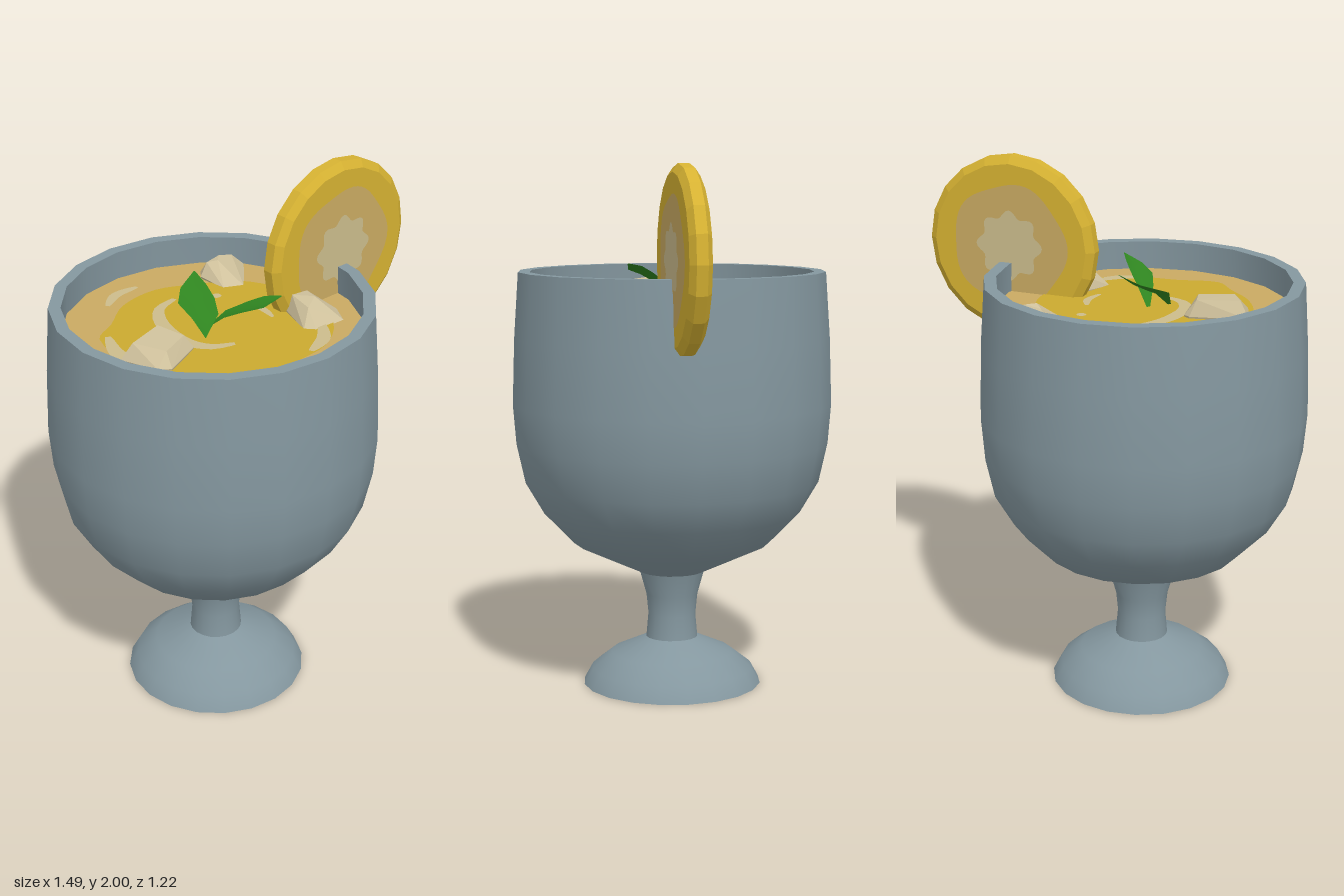
import * as THREE from 'three';
import { ConvexGeometry } from 'three/addons/geometries/ConvexGeometry.js';

const CX = -0.14;      // axis of the glass
const LEVEL = 1.49;    // drink surface
const SIDES = 20;

const mat = (name, color, side = THREE.FrontSide) => {
  const m = new THREE.MeshStandardMaterial({ color, side });
  m.name = name;
  return m;
};

export function createModel() {
  const glass = mat('blue grey glass', 0x84979f);
  const gold = mat('golden yellow', 0xcaa92f);
  const peelMat = mat('peel yellow', 0xd6b232);
  const tan = mat('tan', 0xc9aa62);
  const pale = mat('pale cream', 0xcbbc8c);
  const iceMat = mat('ice', 0xcfc19c);
  const green = mat('mint green', 0x2f8420, THREE.DoubleSide);

  const model = new THREE.Group();
  const add = (name, geo, material, parent = model) => {
    const mesh = new THREE.Mesh(geo, material);
    mesh.name = name;
    parent.add(mesh);
    return mesh;
  };
  const lathe = (pts) =>
    new THREE.LatheGeometry(pts.map(([r, y]) => new THREE.Vector2(r, y)), SIDES);
  const facet = (geo) => {
    const g = geo.index ? geo.toNonIndexed() : geo;
    g.computeVertexNormals();
    return g;
  };

  // Goblet: separate lathes keep the edges between the parts sharp
  const goblet = new THREE.Group();
  goblet.name = 'goblet';
  goblet.position.x = CX;
  model.add(goblet);
  const profiles = {
    footUnderside: [[0, 0], [0.345, 0]],
    foot: [[0.345, 0], [0.312, 0.06], [0.235, 0.12], [0.1, 0.18]],
    stem: [[0.1, 0.18], [0.092, 0.27], [0.1, 0.35], [0.125, 0.44]],
    bowl: [[0.125, 0.44], [0.38, 0.56], [0.495, 0.68], [0.565, 0.8], [0.598, 0.95], [0.61, 1.1], [0.602, 1.35], [0.585, 1.6]],
    rim: [[0.585, 1.6], [0.54, 1.6]],
    innerWall: [[0.54, 1.6], [0.555, 1.3], [0.56, 1.1], [0.52, 0.82], [0.35, 0.62], [0, 0.52]],
  };
  for (const [name, pts] of Object.entries(profiles)) add(name, lathe(pts), glass, goblet);

  // Drink surface
  const surface = new THREE.CircleGeometry(0.546, SIDES).rotateX(-Math.PI / 2);
  add('drinkSurface', surface, tan, goblet).position.y = LEVEL;

  // Flat patches on the drink, outlined in x and z
  const plate = (name, shape, material, lift) => {
    const geo = new THREE.ShapeGeometry(shape, 8).rotateX(-Math.PI / 2);
    add(name, geo, material).position.y = LEVEL + lift;
  };
  const loop = [[-0.27, -0.35], [-0.1, -0.37], [0.05, -0.3], [0.18, -0.22], [0.26, -0.06], [0.26, 0.12], [0.2, 0.27],
    [0.06, 0.37], [-0.12, 0.39], [-0.28, 0.42], [-0.36, 0.34], [-0.46, 0.24], [-0.53, 0.08], [-0.5, -0.2], [-0.4, -0.26]];
  const toV2 = ([x, z]) => new THREE.Vector2(x, -z);
  const blob = new THREE.CatmullRomCurve3(loop.map(([x, z]) => new THREE.Vector3(x, -z, 0)), true);
  plate('goldenPool', new THREE.Shape(blob.getPoints(60).map((p) => new THREE.Vector2(p.x, p.y))), gold, 0.003);

  // Pale curved streaks, tapering at both ends
  const streak = (pts, width) => {
    const curve = new THREE.SplineCurve(pts.map(toV2));
    const a = [], b = [];
    for (let i = 0; i <= 16; i++) {
      const t = i / 16, p = curve.getPoint(t), d = curve.getTangent(t);
      const w = (width / 2) * (0.35 + 0.65 * Math.sin(Math.PI * t));
      a.push(new THREE.Vector2(p.x - d.y * w, p.y + d.x * w));
      b.unshift(new THREE.Vector2(p.x + d.y * w, p.y - d.x * w));
    }
    plate('paleStreak', new THREE.Shape([...a, ...b]), pale, 0.006);
  };
  streak([[-0.32, -0.38], [-0.24, -0.43], [-0.14, -0.43]], 0.04);
  streak([[-0.47, -0.19], [-0.52, -0.08], [-0.52, 0.02], [-0.49, 0.08]], 0.06);
  streak([[-0.1, -0.26], [-0.2, -0.23], [-0.27, -0.12], [-0.29, 0.02], [-0.25, 0.11], [-0.17, 0.15]], 0.055);
  streak([[-0.01, 0.37], [0.09, 0.33], [0.17, 0.24]], 0.05);
  streak([[0.06, -0.06], [0.085, 0.01], [0.07, 0.09]], 0.03);
  streak([[0.015, -0.175], [0.05, -0.175]], 0.035);

  // Ice: chipped blocks, lower outline then upper face as x, y, z
  const ice = (pts) =>
    add('iceCube', facet(new ConvexGeometry(pts.map((p) => new THREE.Vector3(...p)))), iceMat);
  ice([[-0.55, 1.5, -0.02], [-0.34, 1.5, -0.065], [-0.315, 1.5, -0.05], [-0.3, 1.5, 0.08], [-0.46, 1.5, 0.15], [-0.5, 1.5, 0.12],
    [-0.52, 1.43, 0], [-0.33, 1.43, -0.04], [-0.32, 1.43, 0.07], [-0.46, 1.43, 0.13],
    [-0.51, 1.56, 0], [-0.36, 1.56, -0.045], [-0.33, 1.55, 0.06], [-0.45, 1.55, 0.11]]);
  ice([[0.09, 1.5, -0.33], [0.12, 1.5, -0.365], [0.26, 1.5, -0.35], [0.3, 1.49, -0.32], [0.17, 1.49, -0.175], [0.1, 1.49, -0.21],
    [0.12, 1.42, -0.34], [0.27, 1.42, -0.33], [0.15, 1.42, -0.2],
    [0.12, 1.55, -0.33], [0.18, 1.56, -0.33], [0.25, 1.54, -0.335], [0.15, 1.56, -0.3]]);
  ice([[0.14, 1.5, 0.08], [0.25, 1.5, 0.09], [0.295, 1.49, 0.19], [0.25, 1.49, 0.27], [0.12, 1.49, 0.265], [0.09, 1.49, 0.23],
    [0.15, 1.42, 0.1], [0.26, 1.42, 0.16], [0.14, 1.42, 0.24],
    [0.155, 1.56, 0.1], [0.22, 1.56, 0.11], [0.2, 1.565, 0.17], [0.14, 1.55, 0.2]]);

  // Mint leaves: rows of left edge, midrib and right edge
  const leaf = (rows) => {
    const geo = new THREE.BufferGeometry();
    geo.setAttribute('position', new THREE.Float32BufferAttribute(rows.flat(2), 3));
    const index = [];
    for (let r = 0; r < rows.length - 1; r++)
      for (let c = 0; c < 2; c++) {
        const i = r * 3 + c;
        index.push(i, i + 1, i + 3, i + 1, i + 4, i + 3);
      }
    geo.setIndex(index);
    geo.computeVertexNormals();
    add('mintLeaf', geo, green);
  };
  leaf([
    [[-0.225, 1.5, 0.055], [-0.22, 1.5, 0.055], [-0.215, 1.5, 0.05]],
    [[-0.238, 1.56, 0], [-0.19, 1.54, 0.025], [-0.145, 1.56, 0.035]],
    [[-0.235, 1.59, -0.08], [-0.17, 1.575, -0.05], [-0.11, 1.59, -0.025]],
    [[-0.18, 1.615, -0.13], [-0.14, 1.605, -0.1], [-0.1, 1.62, -0.08]],
    [[-0.1, 1.65, -0.148], [-0.1, 1.65, -0.146], [-0.098, 1.65, -0.144]],
  ]);
  leaf([
    [[-0.165, 1.5, 0], [-0.16, 1.5, -0.005], [-0.155, 1.5, -0.01]],
    [[-0.15, 1.56, 0.07], [-0.125, 1.545, 0.045], [-0.105, 1.56, 0.03]],
    [[-0.125, 1.59, 0.125], [-0.085, 1.58, 0.1], [-0.05, 1.6, 0.09]],
    [[-0.06, 1.61, 0.18], [-0.035, 1.61, 0.16], [-0.015, 1.625, 0.135]],
    [[0.012, 1.635, 0.194], [0.014, 1.636, 0.192], [0.016, 1.637, 0.19]],
  ]);

  // Citrus slice standing across the rim
  const slice = new THREE.Group();
  slice.name = 'citrusSlice';
  slice.position.set(0.407, 1.665, 0.06);
  model.add(slice);
  const disc = lathe([[0, -0.04], [0.308, -0.04], [0.337, -0.02], [0.337, 0.02], [0.308, 0.04], [0, 0.04]]);
  add('peel', facet(disc.rotateX(Math.PI / 2)), peelMat, slice);
  const ring = (radius, bump, lobes) => {
    const pts = [];
    for (let i = 0; i < 64; i++) {
      const a = (i / 64) * Math.PI * 2, r = radius + bump * Math.cos(lobes * a);
      pts.push(new THREE.Vector2(r * Math.cos(a), r * Math.sin(a)));
    }
    return new THREE.ShapeGeometry(new THREE.Shape(pts));
  };
  for (const side of [1, -1]) {
    const face = new THREE.Group();
    face.name = side > 0 ? 'frontFlesh' : 'backFlesh';
    face.rotation.y = side > 0 ? 0 : Math.PI;
    slice.add(face);
    add('flesh', ring(0.23, 0.008, 5), tan, face).position.z = 0.042;
    add('core', ring(0.122, 0.013, 8), pale, face).position.z = 0.045;
  }
  return model;
}
